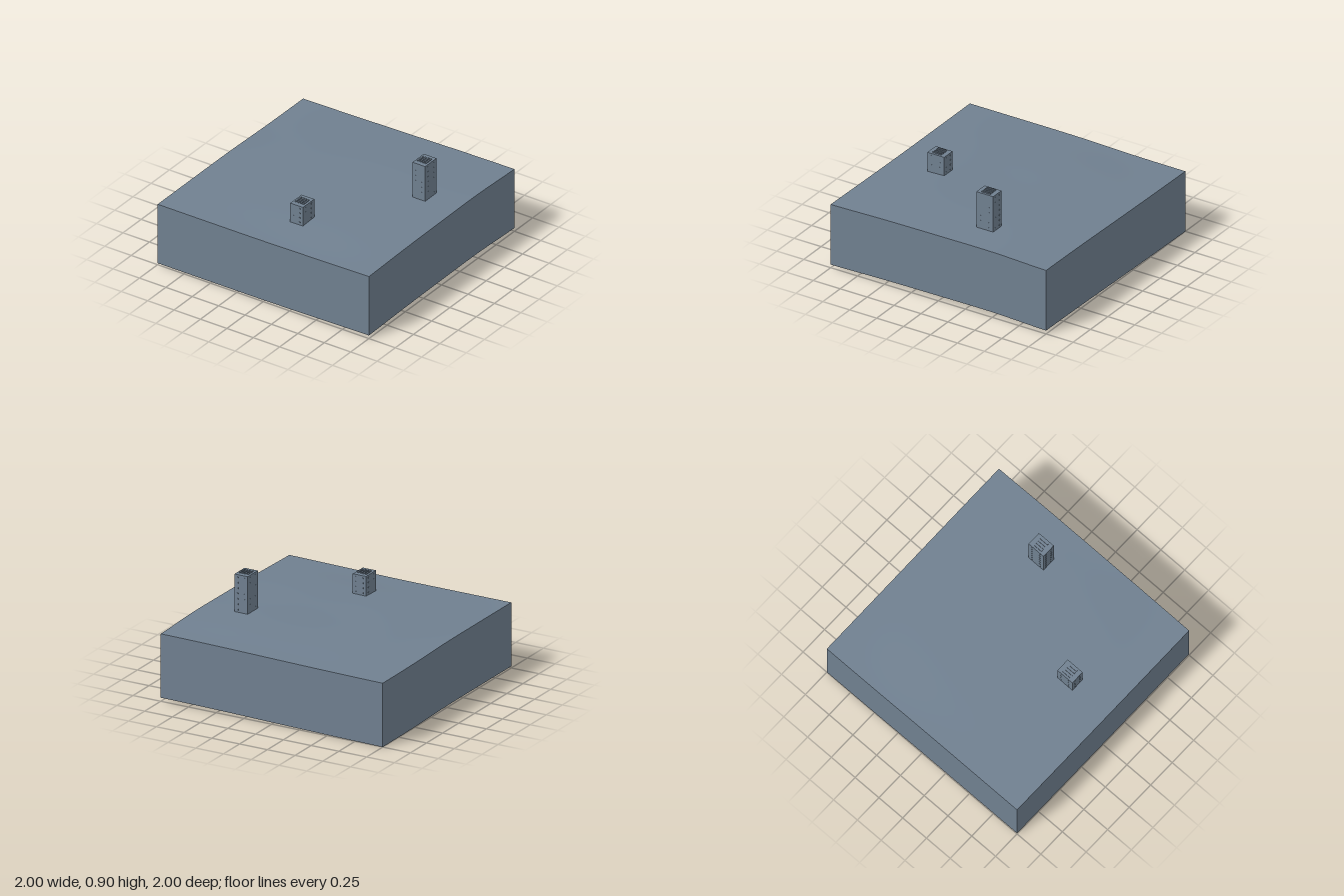
import * as THREE from 'three';

const slate = new THREE.MeshStandardMaterial({ color: 0x708090, side: THREE.DoubleSide });
slate.name = 'slate';

const DEPTH = 0.533; // height of the skirt below the ground
const SEG = 32;

// Ground heights, rows from back to front, columns from right (-x) to left (+x)
const HEIGHTS = [
  [0.535, 0.541, 0.550, 0.560, 0.565],
  [0.538, 0.560, 0.570, 0.580, 0.581],
  [0.549, 0.566, 0.571, 0.580, 0.579],
  [0.550, 0.562, 0.570, 0.577, 0.574],
  [0.549, 0.549, 0.550, 0.556, 0.563],
];

// Smooth curve through evenly spaced values, t from -1 to 1
function smooth(values, t) {
  const s = ((t + 1) / 2) * (values.length - 1);
  const i = Math.min(Math.floor(s), values.length - 2);
  const at = (k) => values[Math.max(0, Math.min(values.length - 1, k))];
  const f = s - i, a = at(i - 1), b = at(i), c = at(i + 1), d = at(i + 2);
  return b + 0.5 * f * (c - a + f * (2 * a - 5 * b + 4 * c - d + f * (3 * (b - c) + d - a)));
}

const groundHeight = (x, z) => smooth(HEIGHTS.map((row) => smooth(row, x)), z);

function add(parent, geometry, name, x = 0, y = 0, z = 0) {
  const mesh = new THREE.Mesh(geometry, slate);
  mesh.name = name;
  mesh.position.set(x, y, z);
  parent.add(mesh);
  return mesh;
}

function makeGround() {
  const g = new THREE.PlaneGeometry(2, 2, SEG, SEG).rotateX(-Math.PI / 2);
  const p = g.attributes.position;
  for (let i = 0; i < p.count; i++) p.setY(i, groundHeight(p.getX(i), p.getZ(i)));
  g.computeVertexNormals();
  return g;
}

// One wall of the open skirt; its top and bottom follow the ground edge
function makeWall(angle) {
  const g = new THREE.PlaneGeometry(2, DEPTH, SEG, 1).translate(0, 0, 1).rotateY(angle);
  const p = g.attributes.position;
  for (let i = 0; i < p.count; i++) {
    const x = THREE.MathUtils.clamp(p.getX(i), -1, 1);
    const z = THREE.MathUtils.clamp(p.getZ(i), -1, 1);
    p.setY(i, groundHeight(x, z) - DEPTH / 2 + p.getY(i));
  }
  return g;
}

// Square tower with small windows and a ribbed roof
function makeTower(name, x, z, base, top, rows) {
  const W = 0.12, D = 0.156;
  const tower = new THREE.Group();
  tower.name = name;
  tower.position.set(x, 0, z);
  add(tower, new THREE.BoxGeometry(W, top - base, D), 'towerBody', 0, (top + base) / 2, 0);

  // Roof vents
  for (let i = 0; i < 4; i++) {
    add(tower, new THREE.BoxGeometry(0.012, 0.008, 0.08), 'roofVent', (i - 1.5) * 0.024, top + 0.004, 0);
  }

  // Windows on all four sides
  const ground = groundHeight(x, z);
  for (let r = 0; r < rows; r++) {
    const y = ground + ((r + 0.5) * (top - ground)) / rows;
    for (const side of [-1, 1]) {
      for (const c of [-1, 1]) {
        add(tower, new THREE.BoxGeometry(0.01, 0.01, 0.004), 'window', c * 0.03, y, side * D / 2);
        add(tower, new THREE.BoxGeometry(0.004, 0.01, 0.01), 'window', side * W / 2, y, c * 0.04);
      }
    }
  }
  return tower;
}

export function createModel() {
  const model = new THREE.Group();
  model.name = 'terrainBlock';

  add(model, makeGround(), 'ground');
  ['frontWall', 'leftWall', 'backWall', 'rightWall'].forEach((name, i) => {
    add(model, makeWall((i * Math.PI) / 2), name);
  });

  model.add(makeTower('shortTower', 0.08, 0.58, 0.552, 0.735, 4));
  model.add(makeTower('tallTower', 0.664, -0.252, 0.568, 0.896, 7));
  return model;
}
